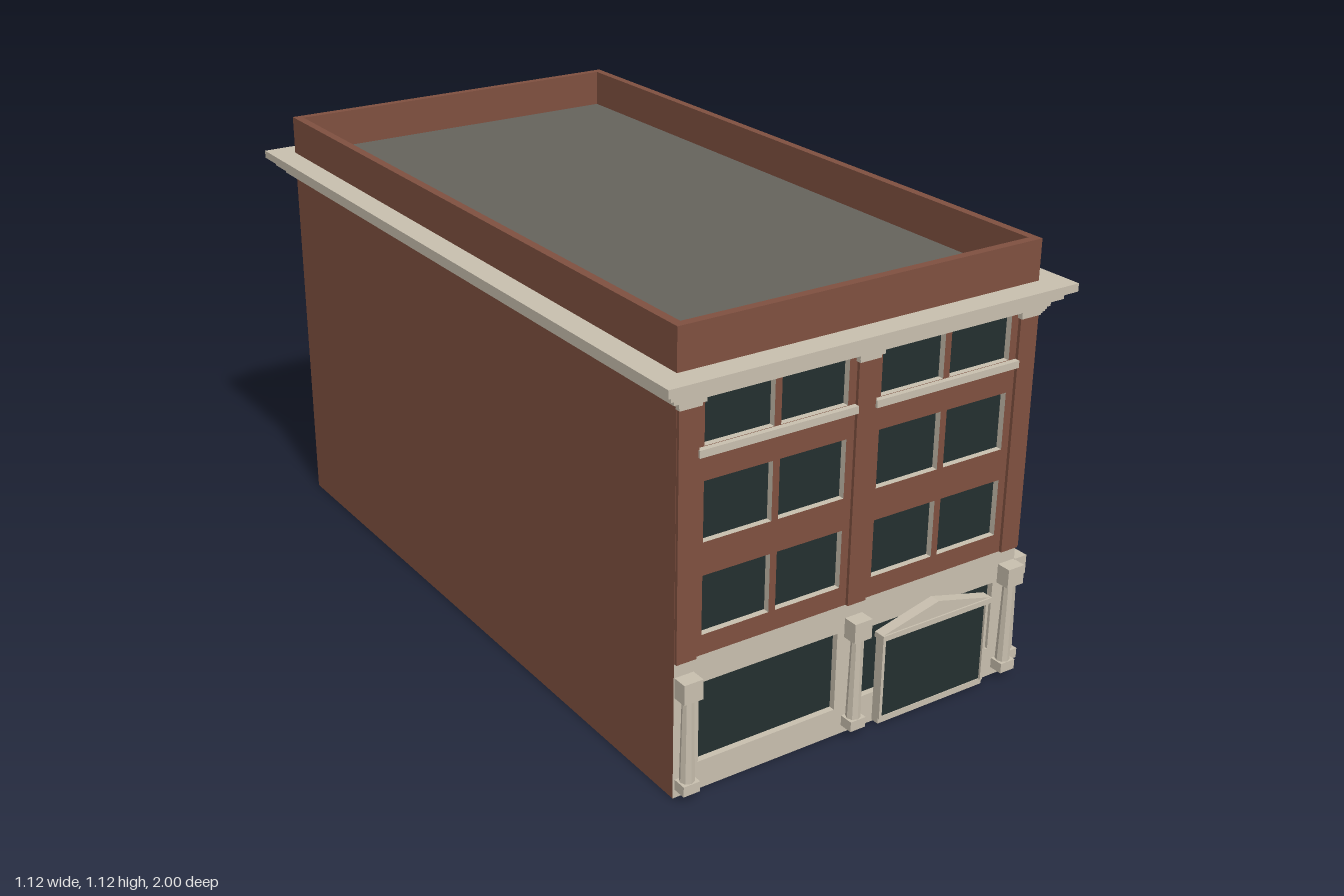
import * as THREE from 'three';

const mat = (name, color) => new THREE.MeshStandardMaterial({ name, color, side: THREE.DoubleSide });

export function createModel() {
  const brick = mat('brick', 0x7f5040);
  const stone = mat('stone', 0xc8bfae);
  const glass = mat('dark glass', 0x232f2f);
  const roofGrey = mat('roof grey', 0x66635c);

  const W = 0.497, D = 0.937;              // half width and half depth of the walls
  const FLOOR = 0.345, EAVE = 1.022, TOP = 1.125;
  const ROWS = [[0.395, 0.54], [0.62, 0.764], [0.845, 0.985]];
  const model = new THREE.Group();
  model.name = 'building';

  function add(parent, name, geometry, material, x = 0, y = 0, z = 0) {
    const m = new THREE.Mesh(geometry, material);
    m.name = name;
    m.position.set(x, y, z);
    parent.add(m);
    return m;
  }
  // box standing out from the wall plane: u along the wall, y range, z range
  const block = (g, name, material, u, w, y0, y1, z0, z1) =>
    add(g, name, new THREE.BoxGeometry(w, y1 - y0, z1 - z0), material, u, (y0 + y1) / 2, (z0 + z1) / 2);

  const rect = (Type, x0, x1, y0, y1) => new Type([
    new THREE.Vector2(x0, y0), new THREE.Vector2(x1, y0), new THREE.Vector2(x1, y1), new THREE.Vector2(x0, y1)]);

  // flat wall panel with openings [u0, u1, y0, y1]
  function panel(g, name, material, half, y0, y1, openings = []) {
    const s = rect(THREE.Shape, -half, half, y0, y1);
    openings.forEach((o) => s.holes.push(rect(THREE.Path, ...o)));
    add(g, name, new THREE.ShapeGeometry(s), material);
    openings.forEach((o) => recess(g, ...o));
  }

  // window: stone reveal (four box sides) with the pane at its back
  function recess(g, u0, u1, y0, y1, d = 0.016) {
    const geo = new THREE.BoxGeometry(u1 - u0, y1 - y0, d);
    const idx = Array.from(geo.index.array);
    geo.setIndex([...idx.slice(0, 24), ...idx.slice(30, 36)]);
    geo.clearGroups();
    geo.addGroup(0, 24, 0);
    geo.addGroup(24, 6, 1);
    add(g, 'window', geo, [stone, glass], (u0 + u1) / 2, (y0 + y1) / 2, -d / 2);
  }

  // ground floor column: base, tapered shaft, block capital
  function column(g, u) {
    block(g, 'columnBase', stone, u, 0.044, 0.022, 0.048, 0, 0.036);
    add(g, 'columnShaft', new THREE.CylinderGeometry(0.014, 0.018, 0.212, 8).toNonIndexed(), stone, u, 0.154, 0.016)
      .geometry.computeVertexNormals();
    block(g, 'columnCapital', stone, u, 0.05, 0.26, 0.31, 0, 0.038);
  }

  // brick pilaster with a stepped stone bracket under the cornice
  function pilaster(g, u, w) {
    block(g, 'pilaster', brick, u, w, FLOOR, 0.965, 0, 0.008);
    block(g, 'bracketLower', stone, u, 0.058, 0.945, 0.955, 0, 0.014);
    block(g, 'bracketUpper', stone, u, 0.07, 0.955, 0.966, 0, 0.02);
  }

  function side(name, x, z, turn) {
    const g = new THREE.Group();
    g.name = name;
    g.position.set(x, 0, z);
    g.rotation.y = turn;
    model.add(g);
    return g;
  }
  const upper = (spans) => ROWS.flatMap(([a, b]) => spans.map(([u0, u1]) => [u0, u1, a, b]));

  // front
  const front = side('frontWall', 0, D, 0);
  panel(front, 'frontBrick', brick, W, FLOOR, EAVE,
    upper([[-0.426, -0.246], [-0.228, -0.047], [0.045, 0.225], [0.243, 0.423]]));
  panel(front, 'frontStone', stone, W, 0, FLOOR, [[-0.43, -0.045, 0.072, 0.275], [0.036, 0.432, 0.08, 0.263]]);
  for (const u of [-0.47, 0, 0.47]) {
    column(front, u);
    pilaster(front, u, 0.052);
  }
  for (const u of [-0.237, 0.234]) block(front, 'sill', stone, u, 0.419, 0.826, 0.844, 0, 0.014);

  // entrance with pediment
  const portal = new THREE.Group();
  portal.name = 'entrance';
  portal.position.x = 0.235;
  front.add(portal);
  block(portal, 'door', glass, 0, 0.312, 0.02, 0.234, 0.012, 0.02);
  for (const s of [-1, 1]) block(portal, 'doorJamb', stone, s * 0.159, 0.008, 0.018, 0.234, 0, 0.026);
  block(portal, 'doorStep', stone, 0, 0.326, 0.004, 0.02, 0, 0.022);
  block(portal, 'lintel', stone, 0, 0.336, 0.232, 0.246, 0, 0.032);
  const gable = new THREE.Shape([[-0.166, 0.246], [0.166, 0.246], [0, 0.287]].map((p) => new THREE.Vector2(...p)));
  add(portal, 'pediment', new THREE.ExtrudeGeometry(gable, { depth: 0.028, bevelEnabled: false }), stone);

  // right-hand street side: seven equal bays
  const street = side('streetWall', W, 0, Math.PI / 2);
  const BAY = 0.2612, START = -0.915;
  const mids = Array.from({ length: 7 }, (_, i) => START + BAY * (i + 0.5));
  panel(street, 'streetBrick', brick, D, FLOOR, EAVE,
    upper(mids.flatMap((m) => [[m - 0.086, m - 0.006], [m + 0.006, m + 0.086]])));
  panel(street, 'streetStone', stone, D, 0, FLOOR, mids.map((m) => [m - 0.088, m + 0.088, 0.07, 0.28]));
  for (const m of mids) block(street, 'sill', stone, m, 0.2, 0.826, 0.844, 0, 0.014);
  for (let i = 0; i < 8; i++) {
    column(street, START + BAY * i);
    pilaster(street, START + BAY * i, 0.046);
  }

  // back with small windows, and the plain party wall
  const back = side('backWall', 0, -D, Math.PI);
  panel(back, 'backBrick', brick, W, 0, EAVE, upper([-0.34, -0.103, 0.133, 0.367].map((u) => [u - 0.038, u + 0.038])));
  panel(side('partyWall', -W, 0, -Math.PI / 2), 'partyBrick', brick, D, 0, EAVE);

  // rectangular ring around the building
  function ring(name, material, hx, hz, ix, iz, y0, y1) {
    const s = rect(THREE.Shape, -hx, hx, -hz, hz);
    s.holes.push(rect(THREE.Path, -ix, ix, -iz, iz));
    const geo = new THREE.ExtrudeGeometry(s, { depth: y1 - y0, bevelEnabled: false });
    geo.rotateX(-Math.PI / 2);
    add(model, name, geo, material, 0, y0, 0);
  }
  // stepped cornice, parapet and roof
  [[0.022, 0.965, 0.984], [0.042, 0.984, 1.004], [0.063, 1.004, 1.024]].forEach(([o, y0, y1]) =>
    ring('cornice', stone, W + o, D + o, W - 0.001, D - 0.001, y0, y1));
  ring('parapet', brick, W, D, W - 0.022, D - 0.022, EAVE, TOP);
  add(model, 'roof', new THREE.BoxGeometry(2 * W - 0.02, 0.01, 2 * D - 0.02), roofGrey, 0, EAVE, 0);

  return model;
}
